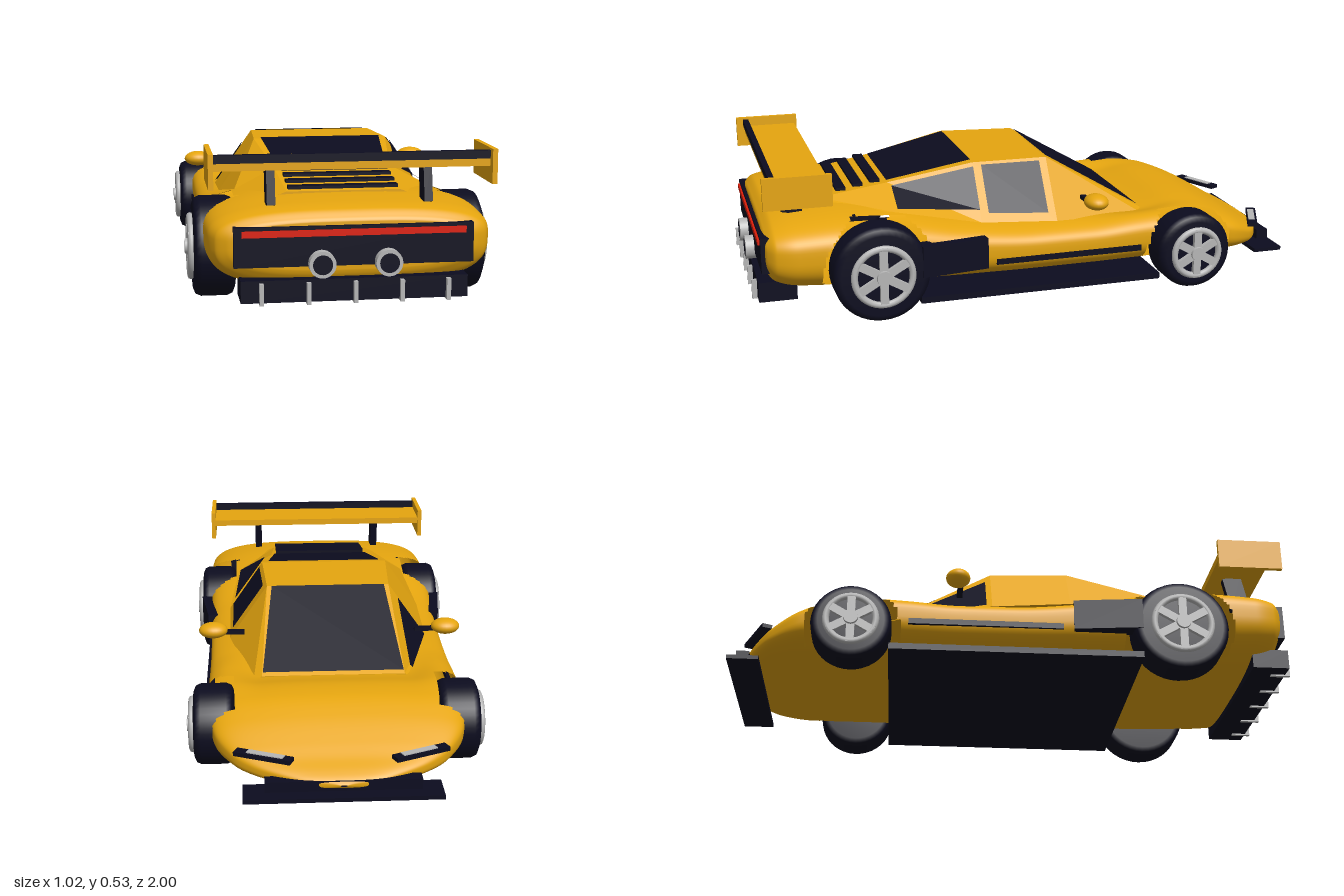
import * as THREE from 'three';

const mat = (name, color, side = THREE.FrontSide) => Object.assign(new THREE.MeshStandardMaterial({ color, side }), { name });
const paint = mat('golden paint', 0xe5a50f, THREE.DoubleSide);
const dark = mat('dark trim and glass', 0x0c0c1f, THREE.DoubleSide);
const silver = mat('silver metal', 0xb6b6b6);
const red = mat('red light', 0xdc1e0a);

// Wheels: z, centre height, radius, rim radius, arch radius
const WHEELS = [
  { name: 'rear', z: 0.575, y: 0.17, r: 0.168, rim: 0.11, arch: 0.195 },
  { name: 'front', z: -0.57, y: 0.142, r: 0.138, rim: 0.095, arch: 0.166 },
];

// Body stations, nose to tail: z, half width, bottom, top
const BODY = [
  [-0.985, 0.01, 0.1, 0.105], [-0.975, 0.1, 0.09, 0.118], [-0.95, 0.18, 0.083, 0.135], [-0.9, 0.285, 0.08, 0.16],
  [-0.85, 0.35, 0.077, 0.19], [-0.75, 0.412, 0.073, 0.245], [-0.65, 0.43, 0.07, 0.285], [-0.53, 0.436, 0.07, 0.305],
  [-0.38, 0.436, 0.07, 0.298], [-0.2, 0.436, 0.07, 0.284], [0, 0.438, 0.07, 0.286], [0.25, 0.442, 0.07, 0.312],
  [0.5, 0.452, 0.072, 0.36], [0.7, 0.456, 0.078, 0.37], [0.85, 0.45, 0.09, 0.362], [0.92, 0.43, 0.11, 0.35],
  [0.945, 0.4, 0.14, 0.33], [0.955, 0.37, 0.165, 0.315], [0.957, 0.001, 0.24, 0.241],
];

// Cabin stations: z, roof half width, roof height, base half width, base height
const CABIN = [
  [-0.44, 0.25, 0.258, 0.28, 0.24], [-0.08, 0.225, 0.47, 0.365, 0.27], [0.2, 0.24, 0.475, 0.368, 0.29],
  [0.5, 0.2, 0.415, 0.335, 0.345], [0.74, 0.185, 0.375, 0.24, 0.355],
];

// Smooth interpolation without overshoot between stations
function sample(rows, z, smooth) {
  let i = 0;
  while (i < rows.length - 2 && z > rows[i + 1][0]) i++;
  const h = rows[i + 1][0] - rows[i][0], t = (z - rows[i][0]) / h;
  const slope = (k, c) => (k < 0 || k > rows.length - 2 ? 0 : (rows[k + 1][c] - rows[k][c]) / (rows[k + 1][0] - rows[k][0]));
  const tangent = (a, b) => (a * b <= 0 ? 0 : (2 * a * b) / (a + b));
  return rows[i].map((p, c) => {
    const q = rows[i + 1][c];
    if (c === 0) return z;
    if (!smooth) return p + (q - p) * t;
    const m0 = tangent(slope(i - 1, c), slope(i, c)), m1 = tangent(slope(i, c), slope(i + 1, c));
    const t2 = t * t, t3 = t2 * t;
    return p * (2 * t3 - 3 * t2 + 1) + q * (3 * t2 - 2 * t3) + h * (m0 * (t3 - 2 * t2 + t) + m1 * (t3 - t2));
  });
}

function geometryFrom(pos, index) {
  const g = new THREE.BufferGeometry();
  g.setAttribute('position', new THREE.Float32BufferAttribute(pos, 3));
  g.setIndex(index);
  return g;
}

// Hollow shell of rounded sections with open wheel arches
function bodyGeometry() {
  const rows = 200, cols = 112, pos = [], index = [];
  for (let i = 0; i <= rows; i++) {
    const z = -0.014 - 0.971 * Math.cos((Math.PI * i) / rows);
    const [, w, bottom, top] = sample(BODY, z, true);
    const mid = bottom + (top - bottom) * 0.58;
    const dip = 0.045 * Math.exp(-(((z + 0.42) / 0.17) ** 2));
    for (let j = 0; j < cols; j++) {
      const a = (j / cols) * Math.PI * 2, c = Math.cos(a), s = Math.sin(a);
      const x = w * Math.sign(c) * Math.abs(c) ** (2 / 3), e = Math.abs(s) ** (2 / 3);
      let y = s > 0 ? mid + (top - mid) * e : mid - (mid - bottom) * e;
      if (s > 0) y -= dip * e * (1 - THREE.MathUtils.smoothstep(Math.abs(x), 0.25, 0.4));
      pos.push(x, y, z);
    }
  }
  const inArch = (ids) => {
    const avg = (k) => ids.reduce((sum, id) => sum + pos[id * 3 + k], 0) / 4;
    return Math.abs(avg(0)) > 0.34 && WHEELS.some((w) => Math.hypot(avg(1) - w.y, avg(2) - w.z) < w.arch);
  };
  for (let i = 0; i < rows; i++) for (let j = 0; j < cols; j++) {
    const k = (j + 1) % cols;
    const [a, b, c, d] = [i * cols + j, i * cols + k, (i + 1) * cols + k, (i + 1) * cols + j];
    if (!inArch([a, b, c, d])) index.push(a, b, c, a, c, d);
  }
  const g = geometryFrom(pos, index);
  g.computeVertexNormals();
  return g;
}

// Faceted cabin
function cabinGeometry() {
  const pos = [], index = [];
  for (const [z, tx, ty, bx, by] of CABIN) pos.push(bx, by, z, tx, ty, z, -tx, ty, z, -bx, by, z);
  for (let i = 0; i < CABIN.length - 1; i++) for (let j = 0; j < 3; j++) {
    const a = i * 4 + j;
    index.push(a, a + 1, a + 5, a, a + 5, a + 4);
  }
  const e = (CABIN.length - 1) * 4;
  index.push(0, 2, 1, 0, 3, 2, e, e + 1, e + 2, e, e + 2, e + 3);
  const g = geometryFrom(pos, index).toNonIndexed();
  g.computeVertexNormals();
  return g;
}

// Thin pane from four corners, lifted off the surface
function pane(corners, lift) {
  const g = geometryFrom(corners.flatMap((p) => p.clone().add(lift).toArray()), [0, 1, 2, 0, 2, 3]).toNonIndexed();
  g.computeVertexNormals();
  return g;
}
function roofPane(z0, z1, u0, u1) {
  const at = (z, u) => { const r = sample(CABIN, z); return new THREE.Vector3(r[1] * u, r[2], z); };
  return pane([at(z0, -u0), at(z1, -u1), at(z1, u1), at(z0, u0)], new THREE.Vector3(0, 0.005, 0));
}
// v runs from the roof edge (0) to the cabin base (1)
function sidePane(s, z0, a0, b0, z1, a1, b1) {
  const at = (z, v) => {
    const r = sample(CABIN, z);
    return new THREE.Vector3(s * (r[1] + (r[3] - r[1]) * v), r[2] + (r[4] - r[2]) * v, z);
  };
  const c = [at(z0, b0), at(z0, a0), at(z1, a1), at(z1, b1)];
  return pane(s > 0 ? c : c.reverse(), new THREE.Vector3(s * 0.005, 0.004, 0));
}

function makeWheel({ name, r, rim }) {
  const g = new THREE.Group(), w = 0.068, e = 0.025;
  g.name = name + 'Wheel';
  const add = (n, geo, m, y) => { const o = new THREE.Mesh(geo, m); o.name = n; o.position.y = y; g.add(o); return o; };
  const profile = [[0, -w], [r - e, -w], [r - e * 0.3, -w + e * 0.3], [r, -w + e], [r, w - e], [r - e * 0.3, w - e * 0.3], [r - e, w], [0, w]];
  add('tire', new THREE.LatheGeometry(profile.map((p) => new THREE.Vector2(...p)), 40), dark, 0);
  add('rimRing', new THREE.TorusGeometry(rim - 0.01, 0.012, 8, 40).rotateX(Math.PI / 2), silver, w + 0.006);
  add('hub', new THREE.CylinderGeometry(0.025, 0.028, 0.03, 20), silver, w + 0.01);
  for (let i = 0; i < 6; i++) {
    const a = (i * Math.PI) / 3;
    const spoke = new THREE.BoxGeometry(rim - 0.01, 0.016, 0.028).translate(rim / 2, 0, 0).rotateY(a);
    add('spoke', spoke, silver, w + 0.008);
  }
  return g;
}

export function createModel() {
  const car = new THREE.Group();
  car.name = 'sportsCar';
  const add = (name, geo, m, x = 0, y = 0, z = 0, ry = 0, rx = 0) => {
    const o = new THREE.Mesh(geo, m);
    o.name = name;
    o.position.set(x, y, z);
    o.rotation.set(rx, ry, 0);
    car.add(o);
    return o;
  };
  const box = (name, m, sx, sy, sz, ...place) => add(name, new THREE.BoxGeometry(sx, sy, sz), m, ...place);

  // Shell, cabin and glass
  add('body', bodyGeometry(), paint);
  add('cabin', cabinGeometry(), paint);
  add('windshield', roofPane(-0.43, -0.085, 0.99, 0.92), dark);
  add('rearWindow', roofPane(0.2, 0.5, 0.9, 0.93), dark);
  add('doorWindow', sidePane(1, -0.05, 0.06, 0.88, 0.17, 0.06, 0.86), dark);
  add('quarterWindow', sidePane(1, 0.2, 0.08, 0.8, 0.49, 0.15, 0.9), dark);
  add('frontSideWindow', sidePane(-1, -0.39, 0.5, 0.7, -0.1, 0.2, 0.97), dark);
  for (let i = 0; i < 4; i++) box('engineLouvre', dark, 0.36, 0.01, 0.036, 0, 0.418 - i * 0.0105, 0.54 + i * 0.061);

  // Floor and nose
  box('floorPanel', dark, 0.92, 0.022, 0.88, 0, 0.059, 0);
  box('splitter', dark, 0.64, 0.014, 0.11, 0, 0.062, -0.945);
  box('noseIntake', dark, 0.5, 0.035, 0.045, 0, 0.1, -0.955);

  // Tail
  box('rearPanel', dark, 0.75, 0.125, 0.03, 0, 0.243, 0.953);
  box('tailLight', red, 0.7, 0.02, 0.008, 0, 0.285, 0.971);
  box('diffuser', dark, 0.71, 0.07, 0.13, 0, 0.107, 0.915);
  for (let i = -2; i <= 2; i++) box('diffuserFin', silver, 0.013, 0.068, 0.07, i * 0.146, 0.101, 0.963);

  // Rear wing
  box('wingBlade', paint, 0.87, 0.024, 0.19, 0, 0.487, 0.835);
  box('wingLip', dark, 0.865, 0.026, 0.02, 0, 0.512, 0.925);

  for (const s of [1, -1]) {
    box('wingEndPlate', paint, 0.016, 0.11, 0.23, s * 0.441, 0.477, 0.845);
    box('wingStrut', dark, 0.027, 0.13, 0.07, s * 0.25, 0.415, 0.835, 0, -0.2);
    box('sideStrip', dark, 0.02, 0.02, 0.54, s * 0.432, 0.165, -0.105);
    box('sideIntake', dark, 0.06, 0.11, 0.24, s * 0.44, 0.205, 0.322, s * 0.13);
    box('headlightFrame', dark, 0.195, 0.014, 0.036, s * 0.252, 0.174, -0.905, s * -0.42);
    box('headlightLens', silver, 0.125, 0.004, 0.024, s * 0.245, 0.182, -0.906, s * -0.42);
    box('mirrorStalk', dark, 0.09, 0.014, 0.02, s * 0.355, 0.335, -0.195);
    add('mirror', new THREE.SphereGeometry(1, 24, 16).scale(0.052, 0.028, 0.043), paint, s * 0.422, 0.347, -0.205);
    const pipe = new THREE.CylinderGeometry(0.042, 0.042, 0.06, 28).rotateX(Math.PI / 2);
    add('exhaustPipe', pipe, silver, s * 0.104, 0.19, 0.968);
    add('exhaustOpening', new THREE.CircleGeometry(0.031, 28), dark, s * 0.104, 0.19, 0.9995);

    // Wheels, outer face turned outward
    for (const spec of WHEELS) {
      const holder = new THREE.Group(), wheel = makeWheel(spec);
      holder.name = spec.name + 'WheelMount';
      wheel.rotation.z = -Math.PI / 2;
      holder.add(wheel);
      holder.position.set(s * 0.415, spec.y, spec.z);
      if (s < 0) holder.rotation.y = Math.PI;
      car.add(holder);
    }
  }
  return car;
}
